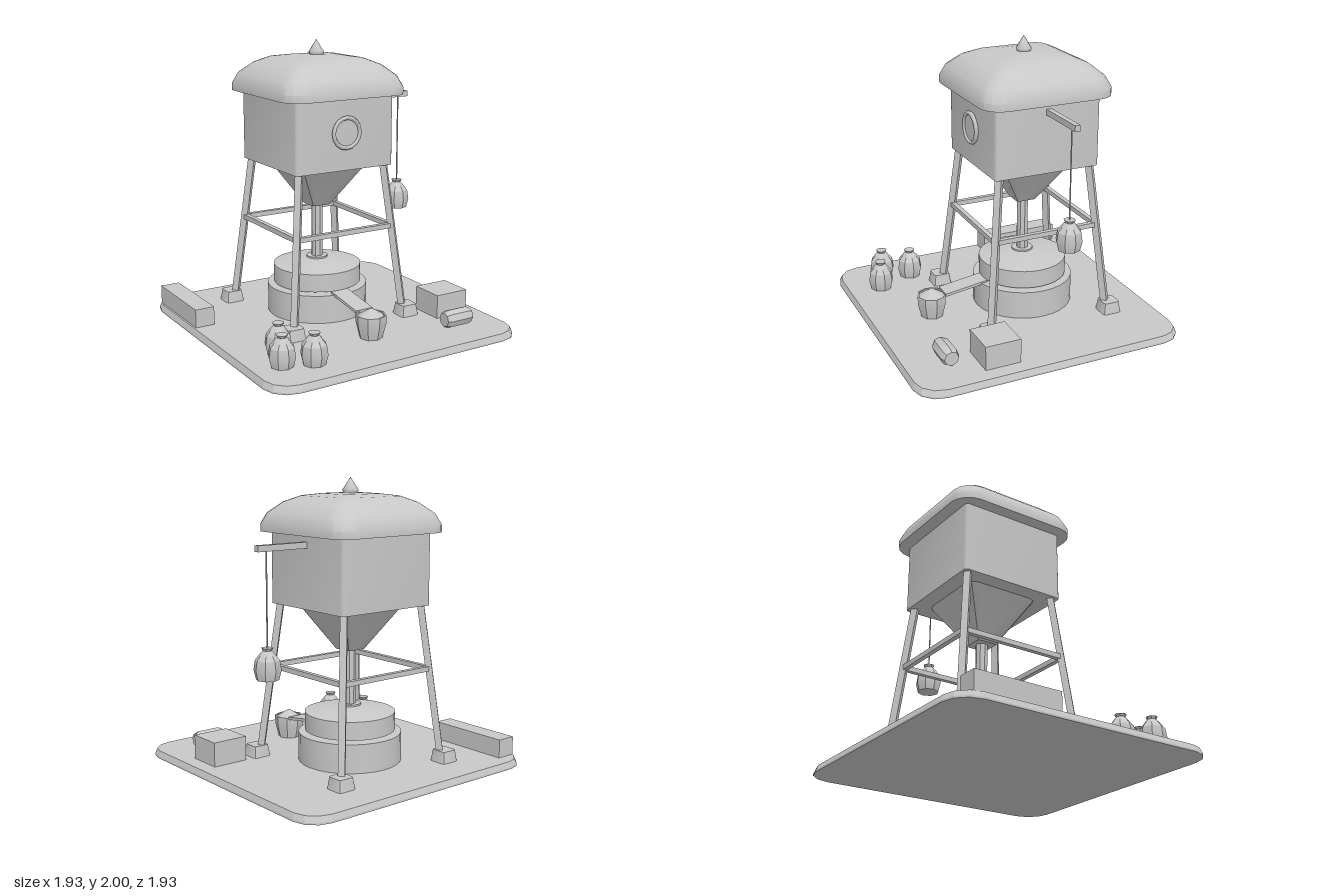
import * as THREE from 'three';
import { toCreasedNormals } from 'three/addons/utils/BufferGeometryUtils.js';

const CZ = -0.18; // tower axis, z
const clay = new THREE.MeshStandardMaterial({ color: 0xc8c8c8 });
clay.name = 'plain grey';

// Rounded-square outline, counter-clockwise seen from above
function ring(y, half, r, seg) {
  const pts = [];
  const corners = [[1, -1], [-1, -1], [-1, 1], [1, 1]];
  corners.forEach(([sx, sz], c) => {
    for (let i = 0; i <= seg; i++) {
      const a = (c + i / seg) * Math.PI / 2;
      pts.push([sx * (half - r) + r * Math.cos(a), y, sz * (half - r) - r * Math.sin(a)]);
    }
  });
  return pts;
}

// Closed solid through levels of [y, half width, corner radius]
function loft(levels, seg = 3, crease = 0.6) {
  const rings = levels.map(([y, h, r]) => ring(y, h, r, seg));
  const n = rings[0].length, pos = [];
  const tri = (a, b, c) => pos.push(...a, ...b, ...c);
  for (let k = 0; k < rings.length - 1; k++) {
    for (let i = 0; i < n; i++) {
      const j = (i + 1) % n, lo = rings[k], hi = rings[k + 1];
      tri(lo[i], lo[j], hi[j]);
      tri(lo[i], hi[j], hi[i]);
    }
  }
  const bottom = rings[0], top = rings[rings.length - 1];
  for (let i = 0; i < n; i++) {
    const j = (i + 1) % n;
    tri([0, levels[0][0], 0], bottom[j], bottom[i]);
    tri([0, top[0][1], 0], top[i], top[j]);
  }
  const g = new THREE.BufferGeometry();
  g.setAttribute('position', new THREE.Float32BufferAttribute(pos, 3));
  g.computeVertexNormals();
  return toCreasedNormals(g, crease);
}

// Turned solid from [radius, y] points
function turned(points, sides, crease = 0.4) {
  const g = new THREE.LatheGeometry(points.map(([r, y]) => new THREE.Vector2(r, y)), sides);
  return toCreasedNormals(g, crease);
}

export function createModel() {
  const model = new THREE.Group();
  model.name = 'hopperMill';
  const add = (name, geometry, x = 0, y = 0, z = 0) => {
    const mesh = new THREE.Mesh(geometry, clay);
    mesh.name = name;
    mesh.position.set(x, y, z);
    model.add(mesh);
    return mesh;
  };
  const box = (name, w, h, d, x, y, z) => add(name, new THREE.BoxGeometry(w, h, d), x, y, z);

  // Ground slab with a slightly bevelled rim
  add('base', loft([[0, 0.967, 0.17], [0.012, 0.967, 0.17], [0.05, 0.953, 0.165]], 3, 0.2));

  // Tank, hopper, domed roof and finial
  add('tank', loft([[1.14, 0.386, 0.025], [1.64, 0.386, 0.025]]), 0, 0, CZ);
  add('hopper', loft([[0.83, 0.075, 0.02], [1.14, 0.272, 0.06]], 2), 0, 0, CZ);
  add('roof', loft([
    [1.635, 0.476, 0.145], [1.685, 0.476, 0.145], [1.76, 0.44, 0.134], [1.833, 0.354, 0.108],
    [1.875, 0.26, 0.08], [1.89, 0.153, 0.047], [1.895, 0.04, 0.012],
  ], 4), 0, 0, CZ);
  add('finial', turned([[0, 1.88], [0.046, 1.885], [0.056, 1.912], [0.03, 1.952], [0, 2]], 8, 0.9), 0, 0, CZ);

  // Round window on the front wall
  add('windowRing', new THREE.TorusGeometry(0.103, 0.015, 6, 16), 0, 1.4, CZ + 0.398);
  const pane = add('windowPane', new THREE.CylinderGeometry(0.1, 0.1, 0.009, 16), 0, 1.4, CZ + 0.395);
  pane.rotation.x = Math.PI / 2;

  // Splayed legs on tapered feet
  const legGeo = new THREE.BoxGeometry(0.046, 1, 0.046);
  const footGeo = loft([[0.05, 0.07, 0.022], [0.13, 0.058, 0.018]], 2);
  for (const sx of [-1, 1]) {
    for (const sz of [-1, 1]) {
      const a = new THREE.Vector3(sx * 0.448, 0.06, CZ + sz * 0.448);
      const b = new THREE.Vector3(sx * 0.338, 1.15, CZ + sz * 0.338);
      const dir = b.clone().sub(a);
      const leg = add('leg', legGeo);
      leg.position.copy(a).add(b).multiplyScalar(0.5);
      leg.scale.y = dir.length();
      leg.quaternion.setFromUnitVectors(new THREE.Vector3(0, 1, 0), dir.normalize());
      leg.rotateY(Math.PI / 4);
      add('foot', footGeo, sx * 0.463, 0, CZ + sz * 0.463);
    }
  }

  // Cross braces between the legs
  for (const s of [-1, 1]) {
    box('braceAcross', 0.76, 0.034, 0.034, 0, 0.702, CZ + s * 0.382);
    box('braceAlong', 0.034, 0.034, 0.76, s * 0.382, 0.702, CZ);
  }

  // Feed pipe, collar and millstones
  add('feedPipe', turned([[0, 0.43], [0.041, 0.43], [0.041, 0.84], [0, 0.84]], 8), 0, 0, CZ);
  add('collar', turned([[0, 0.42], [0.076, 0.42], [0.076, 0.447], [0, 0.447]], 16), 0, 0, CZ);
  add('runnerStone', turned([[0, 0.265], [0.314, 0.265], [0.314, 0.392], [0.076, 0.435], [0, 0.435]], 32, 0.22), 0, 0, CZ);
  add('bedStone', turned([[0, 0.05], [0.358, 0.05], [0.358, 0.25], [0, 0.25]], 32), 0, 0, CZ);

  // Chute leading into a heaped bucket
  box('chute', 0.134, 0.02, 0.32, 0, 0.233, 0.285).rotation.x = 0.14;
  add('bucket', turned([[0, 0.05], [0.08, 0.05], [0.105, 0.15], [0.105, 0.21], [0.093, 0.21], [0.093, 0.195]], 8), 0, 0, 0.527);
  add('bucketHeap', turned([[0.094, 0.2], [0.05, 0.228], [0, 0.255]], 8), 0, 0, 0.527);

  // Hoist beam, rope and sacks
  box('hoistBeam', 0.42, 0.041, 0.038, 0.562, 1.567, CZ);
  add('rope', new THREE.CylinderGeometry(0.005, 0.005, 0.64, 6), 0.697, 1.235, CZ);
  const sackGeo = turned([
    [0, 0], [0.076, 0], [0.092, 0.065], [0.082, 0.13], [0.042, 0.18], [0.03, 0.192], [0.04, 0.21], [0, 0.21],
  ], 8);
  add('hangingSack', sackGeo, 0.697, 0.714, CZ);
  for (const [x, z] of [[-0.67, 0.45], [-0.75, 0.645], [-0.557, 0.718]]) add('sack', sackGeo, x, 0.05, z);

  // Keg on its side, crate and trough
  const keg = add('keg', turned([
    [0, -0.108], [0.05, -0.108], [0.063, -0.075], [0.063, 0.075], [0.05, 0.108], [0, 0.108],
  ], 8), 0.618, 0.115, 0.672);
  keg.rotation.z = Math.PI / 2;
  box('crate', 0.258, 0.17, 0.252, 0.72, 0.135, 0.362);
  box('trough', 0.14, 0.13, 0.615, -0.87, 0.115, -0.545);

  return model;
}
